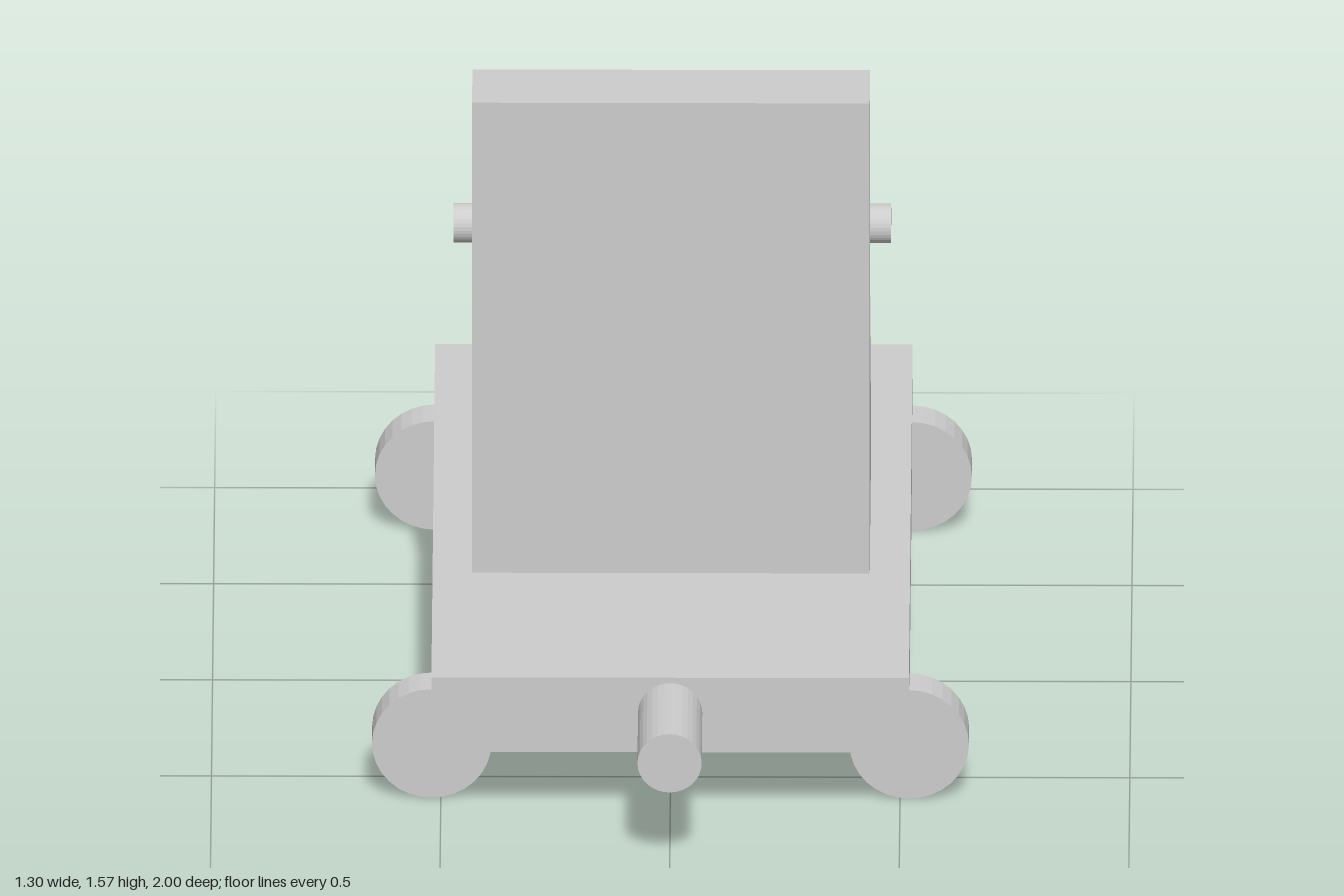
import * as THREE from 'three';

const grey = new THREE.MeshStandardMaterial({ color: 0xcccccc, flatShading: true });
grey.name = 'light grey';

export function createModel() {
  const model = new THREE.Group();
  model.name = 'cart';

  const add = (name, geometry, x, y, z) => {
    const mesh = new THREE.Mesh(geometry, grey);
    mesh.name = name;
    mesh.position.set(x, y, z);
    model.add(mesh);
    return mesh;
  };

  // Flat deck with a narrower chassis slab beneath it
  add('deck', new THREE.BoxGeometry(1.04, 0.17, 1.735), 0, 0.263, -0.1325);
  add('chassis', new THREE.BoxGeometry(0.866, 0.087, 1.39), 0, 0.1345, -0.13);

  // L-shaped seat: profile drawn in (-z, y), extruded across the width
  const width = 0.866;
  const profile = new THREE.Shape([
    [-0.39, 0.44], [0.303, 0.44], [0.303, 0.785],
    [-0.217, 0.785], [-0.217, 1.567], [-0.39, 1.567],
  ].map(([a, b]) => new THREE.Vector2(a, b)));
  const seat = new THREE.ExtrudeGeometry(profile, { depth: width, bevelEnabled: false });
  seat.translate(0, 0, -width / 2).rotateY(Math.PI / 2);
  add('seat', seat, 0, 0, 0);

  // Floating handlebar across the open side of the seat
  const bar = new THREE.CylinderGeometry(0.043, 0.043, 0.953, 32).rotateZ(Math.PI / 2);
  add('handlebar', bar, 0, 0.96, -0.303);

  // Round stub on the front edge of the deck
  const stub = new THREE.CylinderGeometry(0.07, 0.07, 0.275, 32).rotateX(Math.PI / 2);
  add('frontStub', stub, 0, 0.265, 0.8625);

  // Four wheels at the corners, discs facing front and back
  const wheel = new THREE.CylinderGeometry(0.13, 0.13, 0.087, 32).rotateX(Math.PI / 2);
  for (const [end, z] of [['front', 0.567], ['back', -0.827]]) {
    for (const [side, s] of [['Left', 1], ['Right', -1]]) {
      add(`${end}${side}Wheel`, wheel, s * 0.52, 0.132, z);
    }
  }
  return model;
}
